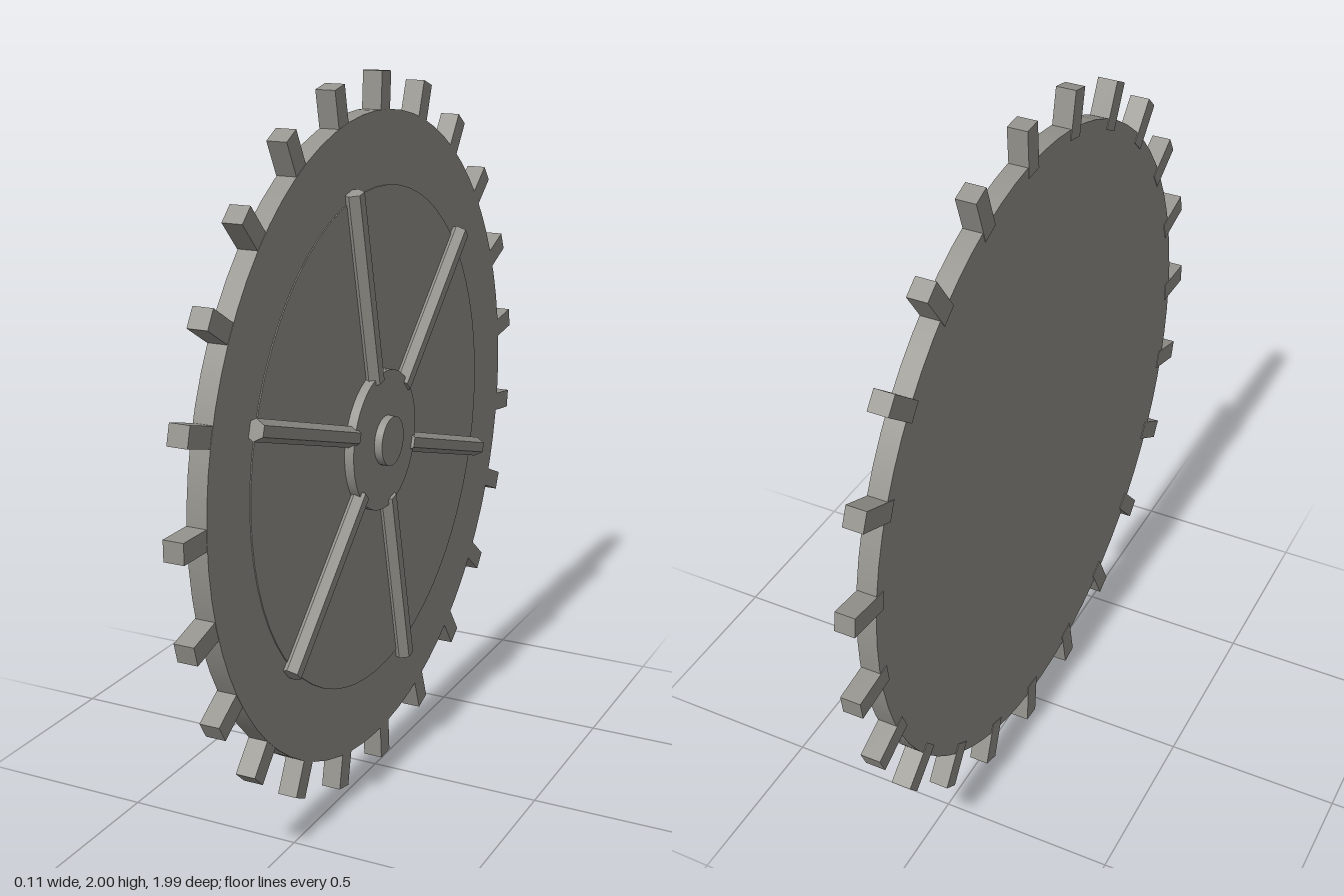
import * as THREE from 'three';

const steel = new THREE.MeshStandardMaterial({ color: 0x96948e });
steel.name = 'warm grey metal';

// Disc lying across the x axis, from x0 to x1
function disc(name, radius, x0, x1, sides = 64) {
  const geometry = new THREE.CylinderGeometry(radius, radius, x1 - x0, sides);
  geometry.rotateZ(-Math.PI / 2);
  geometry.translate((x0 + x1) / 2, 0, 0);
  const mesh = new THREE.Mesh(geometry, steel);
  mesh.name = name;
  return mesh;
}

// Copies of a part that points along +z, spread evenly around the x axis
function ring(name, geometry, count, startAngle) {
  const group = new THREE.Group();
  group.name = name + 's';
  for (let i = 0; i < count; i++) {
    const mesh = new THREE.Mesh(geometry, steel);
    mesh.name = name;
    mesh.rotation.x = -(startAngle + (i / count) * Math.PI * 2);
    group.add(mesh);
  }
  return group;
}

export function createModel() {
  const model = new THREE.Group();
  model.name = 'cogwheel';
  const wheel = new THREE.Group();
  wheel.name = 'wheel';
  wheel.position.set(0, 1, -0.003);
  model.add(wheel);

  // Main plate, shallow raised face, hub and axle cap
  wheel.add(disc('plate', 0.9, -0.055, 0, 72));
  wheel.add(disc('raisedFace', 0.7, -0.01, 0.003));
  wheel.add(disc('hub', 0.197, 0, 0.03, 48));
  wheel.add(disc('axleCap', 0.07, 0.02, 0.053, 32));

  // Square teeth around the rim
  const tooth = new THREE.BoxGeometry(0.056, 0.055, 0.13);
  tooth.translate(-0.029, 0, 0.935);
  wheel.add(ring('tooth', tooth, 23, 0));

  // Six-sided spokes, half sunk into the plate
  let spoke = new THREE.CylinderGeometry(0.029, 0.029, 0.545, 6).toNonIndexed();
  spoke.computeVertexNormals();
  spoke.rotateX(Math.PI / 2);
  spoke.translate(0.014, 0, 0.4525);
  wheel.add(ring('spoke', spoke, 6, THREE.MathUtils.degToRad(17.3)));

  return model;
}
